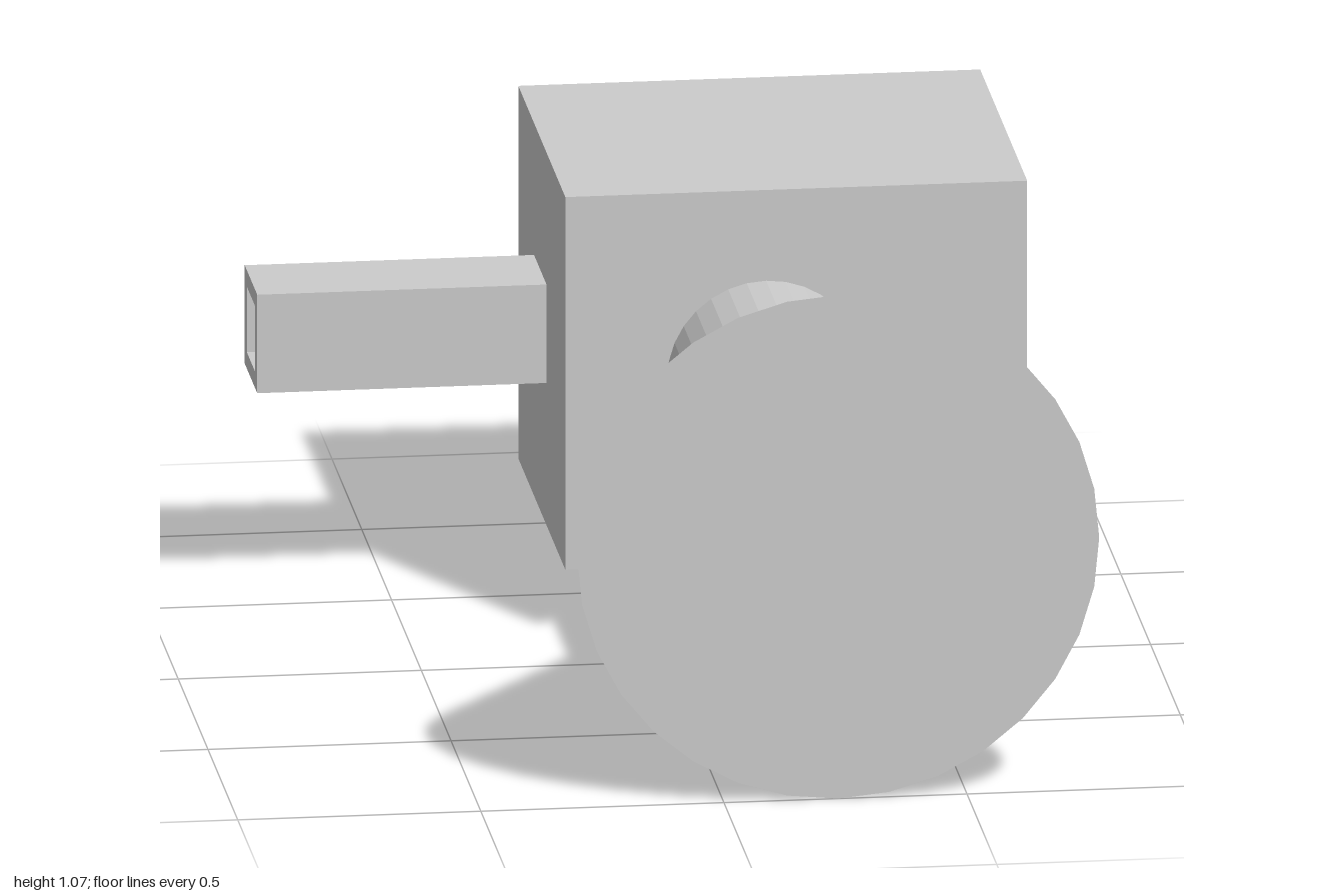
import * as THREE from 'three';

export function createModel() {
  const model = new THREE.Group();
  const material = new THREE.MeshStandardMaterial({ color: 0xcccccc, flatShading: true });

  const add = (name, geometry, x, y, z) => {
    const mesh = new THREE.Mesh(geometry, material);
    mesh.name = name;
    mesh.position.set(x, y, z);
    model.add(mesh);
    return mesh;
  };

  // Rectangular main housing
  add('housing', new THREE.BoxGeometry(0.95, 0.795, 0.79), 0.297, 0.541, -0.605);

  // Round neck and closed flared horn, both along z
  const axisX = 0.235, axisY = 0.541, neckRadius = 0.204, sides = 32;
  const round = (name, frontRadius, z0, z1) => {
    const geometry = new THREE.CylinderGeometry(frontRadius, neckRadius, z1 - z0, sides);
    geometry.rotateX(Math.PI / 2);
    add(name, geometry, axisX, axisY, (z0 + z1) / 2);
  };
  round('neck', neckRadius, -0.21, 0.425);
  round('horn', 0.537, 0.425, 1);

  // Hollow square tube, running out of the housing along -x
  const square = (target, half) => {
    target.moveTo(-half, -half);
    target.lineTo(half, -half);
    target.lineTo(half, half);
    target.lineTo(-half, half);
    target.closePath();
    return target;
  };
  const section = square(new THREE.Shape(), 0.105);
  section.holes.push(square(new THREE.Path(), 0.07));
  const tube = new THREE.ExtrudeGeometry(section, { depth: 0.595, bevelEnabled: false });
  tube.rotateY(-Math.PI / 2);
  add('sideTube', tube, -0.18, 0.557, -0.615);

  return model;
}
